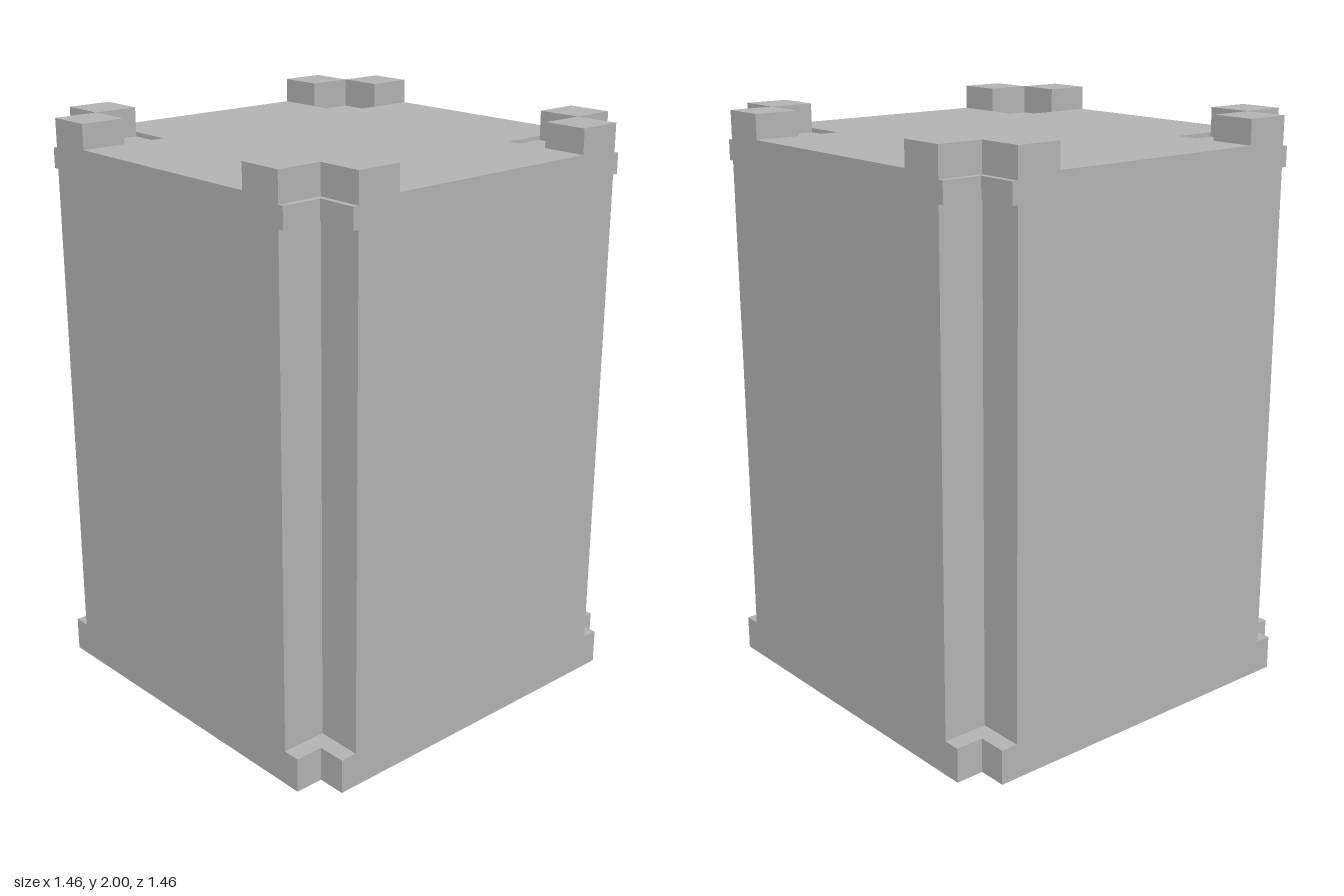
import * as THREE from 'three';

const HALF = 0.73; // half width of the crate

export function createModel() {
  const group = new THREE.Group();
  group.name = 'stackableCrate';
  const grey = new THREE.MeshStandardMaterial({ color: 0xb3b3b3 });
  grey.name = 'grey plastic';

  function add(name, geometry) {
    const mesh = new THREE.Mesh(geometry, grey);
    mesh.name = name;
    group.add(mesh);
    return mesh;
  }

  function box(name, w, h, d, x, y, z) {
    add(name, new THREE.BoxGeometry(w, h, d)).position.set(x, y, z);
  }

  // Square slab whose corners are notched inwards to the given distance
  function notchedSlab(name, notch, y0, y1) {
    const shape = new THREE.Shape();
    for (let i = 0; i < 4; i++) {
      const c = Math.round(Math.cos(i * Math.PI / 2));
      const s = Math.round(Math.sin(i * Math.PI / 2));
      for (const [x, y] of [[HALF, -notch], [HALF, notch], [notch, notch]]) {
        const px = x * c - y * s, py = x * s + y * c;
        if (i === 0 && y === -notch) shape.moveTo(px, py);
        else shape.lineTo(px, py);
      }
    }
    shape.closePath();
    const geometry = new THREE.ExtrudeGeometry(shape, { depth: y1 - y0, bevelEnabled: false });
    geometry.rotateX(-Math.PI / 2).translate(0, y0, 0);
    add(name, geometry);
  }

  // Body with grooved corners, the collar above it, and the raised lid with corner pockets
  notchedSlab('body', 0.57, 0.12, 1.83);
  notchedSlab('collar', 0.59, 1.83, 1.9);
  notchedSlab('lid', 0.41, 1.9, 1.915);

  // Pairs of stacking lugs around each corner
  for (const sx of [-1, 1]) {
    for (const sz of [-1, 1]) {
      box('stackingLug', 0.16, 0.1, 0.16, sx * 0.49, 1.95, sz * 0.65);
      box('stackingLug', 0.16, 0.1, 0.16, sx * 0.65, 1.95, sz * 0.49);
    }
  }

  // Hollow base: floor flange, thin outer walls, and a grid of ribs underneath
  notchedSlab('baseFlange', 0.63, 0.11, 0.12);
  const t = 0.02, h = 0.11;
  for (const s of [-1, 1]) {
    box('baseWall', 1.26, h, t, 0, h / 2, s * (HALF - t / 2));
    box('baseWall', t, h, 1.26, s * (HALF - t / 2), h / 2, 0);
  }
  for (const p of [-0.62, 0, 0.62]) {
    box('baseRib', 2 * HALF, h, t, 0, h / 2, p);
    box('baseRib', t, h, 2 * HALF, p, h / 2, 0);
  }

  return group;
}
